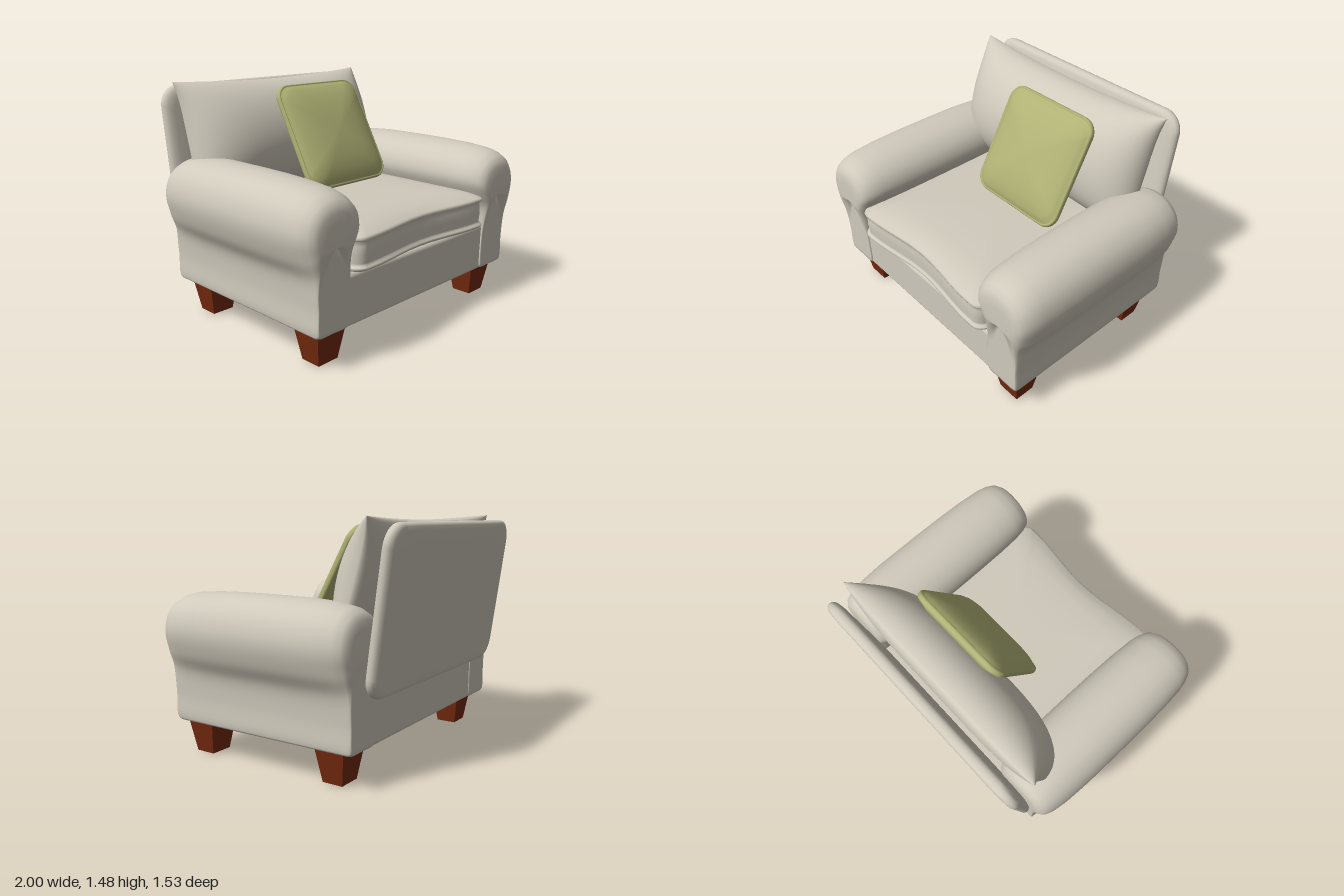
import * as THREE from 'three';
import { RoundedBoxGeometry } from 'three/addons/geometries/RoundedBoxGeometry.js';

const fabric = new THREE.MeshStandardMaterial({ color: 0xd0cabc });
const green = new THREE.MeshStandardMaterial({ color: 0xafb174 });
const wood = new THREE.MeshStandardMaterial({ color: 0x752a0e });
fabric.name = 'cream fabric';
green.name = 'green fabric';
wood.name = 'red brown wood';

// Skin a list of closed rings (front to back, each counterclockwise seen from the front)
function loft(rings, flip = false) {
  const n = rings[0].length, index = [];
  for (let i = 0; i < rings.length - 1; i++) {
    for (let j = 0; j < n; j++) {
      const a = i * n + j, b = i * n + (j + 1) % n, c = a + n, d = b + n;
      if (flip) index.push(a, b, c, b, d, c);
      else index.push(a, c, b, b, c, d);
    }
  }
  const g = new THREE.BufferGeometry();
  g.setAttribute('position', new THREE.Float32BufferAttribute(rings.flat(2), 3));
  g.setIndex(index);
  g.computeVertexNormals();
  return g;
}

// Rounded rectangle stacked along z; each level is [scale, z]
function stacked(hx, hy, r, levels, warp = p => p) {
  const outline = [];
  const corners = [[1, -1], [1, 1], [-1, 1], [-1, -1]];
  corners.forEach(([sx, sy], k) => {
    for (let i = 0; i <= 8; i++) {
      const a = (k - 1 + i / 8) * Math.PI / 2;
      outline.push([sx * (hx - r) + r * Math.cos(a), sy * (hy - r) + r * Math.sin(a)]);
    }
    // points along the straight side towards the next corner
    const [nx, ny] = corners[(k + 1) % 4], last = outline[outline.length - 1];
    const a = k * Math.PI / 2;
    const end = [nx * (hx - r) + r * Math.cos(a), ny * (hy - r) + r * Math.sin(a)];
    for (let i = 1; i < 10; i++) {
      outline.push([0, 1].map(m => last[m] + (end[m] - last[m]) * i / 10));
    }
  });
  return loft(levels.map(([s, z]) => outline.map(([x, y]) => warp([x * s, y * s, z]))));
}

// Rolled arm: one profile carried front to back with rounded ends
function armGeometry(side) {
  const profile = [
    [0.865, 0.21], [0.878, 0.225], [0.88, 0.38], [0.9, 0.53], [0.965, 0.65], [1.0, 0.8],
    [0.965, 0.93], [0.88, 1.01], [0.76, 1.035], [0.635, 1.005], [0.55, 0.93], [0.52, 0.83],
    [0.56, 0.72], [0.61, 0.62], [0.63, 0.5], [0.63, 0.225], [0.643, 0.21], [0.75, 0.207]
  ];
  const curve = new THREE.CatmullRomCurve3(
    profile.map(([x, y]) => new THREE.Vector3(x, y, 0)), true, 'centripetal');
  const pts = curve.getPoints(90).slice(0, -1);
  // [roll z, roll scale, base z, base scale]
  const stations = [
    [0.76, 0, 0.725, 0], [0.76, 0.4, 0.725, 0.6], [0.757, 0.58, 0.725, 0.93],
    [0.745, 0.7, 0.722, 0.97], [0.72, 0.8, 0.71, 0.99], [0.67, 0.88, 0.69, 1],
    [0.6, 0.935, 0.6, 1], [0.45, 0.975, 0.45, 1], [0.25, 0.995, 0.25, 1], [0.05, 1, 0.05, 1],
    [-0.25, 0.995, -0.25, 1], [-0.42, 0.96, -0.45, 1], [-0.52, 0.9, -0.56, 1],
    [-0.57, 0.82, -0.58, 0.99], [-0.595, 0.7, -0.588, 0.97], [-0.6, 0.55, -0.59, 0.93],
    [-0.6, 0, -0.59, 0]
  ];
  const rings = stations.map(([zr, sr, zb, sb]) => pts.map(p => {
    const w = THREE.MathUtils.smoothstep(p.y, 0.42, 0.7);
    const s = sb + (sr - sb) * w;
    return [side * (0.76 + (p.x - 0.76) * s), 0.72 + (p.y - 0.72) * s, zb + (zr - zb) * w];
  }));
  return loft(rings, side < 0);
}

// Plump back cushion with a pinched seam and drawn-out corners
function backCushionGeometry() {
  const N = 28, rings = [];
  const point = (u, v, depth) => {
    const bulge = Math.sqrt(Math.max(0, (1 - u ** 4) * (1 - v * v)));
    return [u * (0.765 + 0.03 * v ** 4), v * (0.362 + 0.034 * u * u), depth * bulge];
  };
  // concentric square rings from the front centre to the seam, then to the back centre
  for (let k = 0; k <= 2 * N; k++) {
    const t = Math.sin((k <= N ? k : 2 * N - k) / N * Math.PI / 2);
    const depth = k <= N ? 0.265 : -0.1, ring = [];
    for (let q = 0; q < 4; q++) {
      for (let i = 0; i < 20; i++) {
        const e = -Math.cos(i / 20 * Math.PI);
        const [u, v] = [[1, e], [-e, 1], [-1, -e], [e, -1]][q];
        ring.push(point(u * t, v * t, depth));
      }
    }
    rings.push(ring);
  }
  return loft(rings);
}

export function createModel() {
  const model = new THREE.Group();
  const add = (name, geometry, material, x = 0, y = 0, z = 0, tilt = 0) => {
    const mesh = new THREE.Mesh(geometry, material);
    mesh.name = name;
    mesh.position.set(x, y, z);
    mesh.rotation.x = tilt;
    model.add(mesh);
    return mesh;
  };

  // Upholstered base between the arms
  add('base', new RoundedBoxGeometry(1.32, 0.32, 1.3, 4, 0.03), fabric, 0, 0.365, 0.065);

  // Arms
  add('leftArm', armGeometry(1), fabric);
  add('rightArm', armGeometry(-1), fabric);

  // Seat cushion with piped top and bottom edges and a slightly bowed front
  const seat = stacked(0.62, 0.625, 0.08, [
    [0, 0.78], [0.4, 0.78], [0.7, 0.774], [0.85, 0.76], [0.93, 0.742], [0.97, 0.73],
    [0.99, 0.725], [1, 0.714], [0.993, 0.702], [0.976, 0.694], [0.984, 0.67], [0.986, 0.62],
    [0.98, 0.57], [0.982, 0.558], [1, 0.55], [1.006, 0.54], [0.99, 0.528], [0.95, 0.522], [0, 0.522]
  ], ([x, y, z]) => [x, y < -0.4 ? y + 0.022 * Math.cos(x * 6) * (-y - 0.4) / 0.2 : y, z]);
  add('seatCushion', seat, fabric, 0, 0, 0.112, -Math.PI / 2);

  // Back panel
  const panel = stacked(0.806, 0.486, 0.13, [
    [0, 0.045], [0.8, 0.043], [0.92, 0.04], [0.965, 0.033], [0.99, 0.02], [1, 0.005],
    [1, -0.012], [0.99, -0.028], [0.965, -0.039], [0.92, -0.043], [0.8, -0.045], [0, -0.047]
  ]);
  add('backPanel', panel, fabric, -0.05, 0.966, -0.665, -0.135);

  // Back cushion
  add('backCushion', backCushionGeometry(), fabric, -0.055, 1.1, -0.485, -0.28);

  // Throw pillow with a piped seam
  const front = [
    [0, 0.085], [0.25, 0.083], [0.5, 0.074], [0.7, 0.06], [0.85, 0.042], [0.93, 0.026],
    [0.955, 0.014], [0.965, 0.018], [0.985, 0.018], [0.998, 0.008]
  ];
  const back = front.map(([s, z]) => [s, -z * 1.1]).reverse();
  add('throwPillow', stacked(0.36, 0.368, 0.1, [...front, ...back]), green, 0.09, 1.105, -0.145, -0.505);

  // Tapered square legs
  const leg = new THREE.CylinderGeometry(Math.SQRT2, Math.SQRT2 * 0.66, 0.22, 4, 1)
    .rotateY(Math.PI / 4).scale(0.112, 1, 0.1).toNonIndexed();
  leg.computeVertexNormals();
  for (const [zName, z] of [['front', 0.57], ['back', -0.41]]) {
    for (const [xName, x] of [['Left', 0.722], ['Right', -0.722]]) {
      add(zName + xName + 'Leg', leg, wood, x, 0.11, z);
    }
  }
  return model;
}
